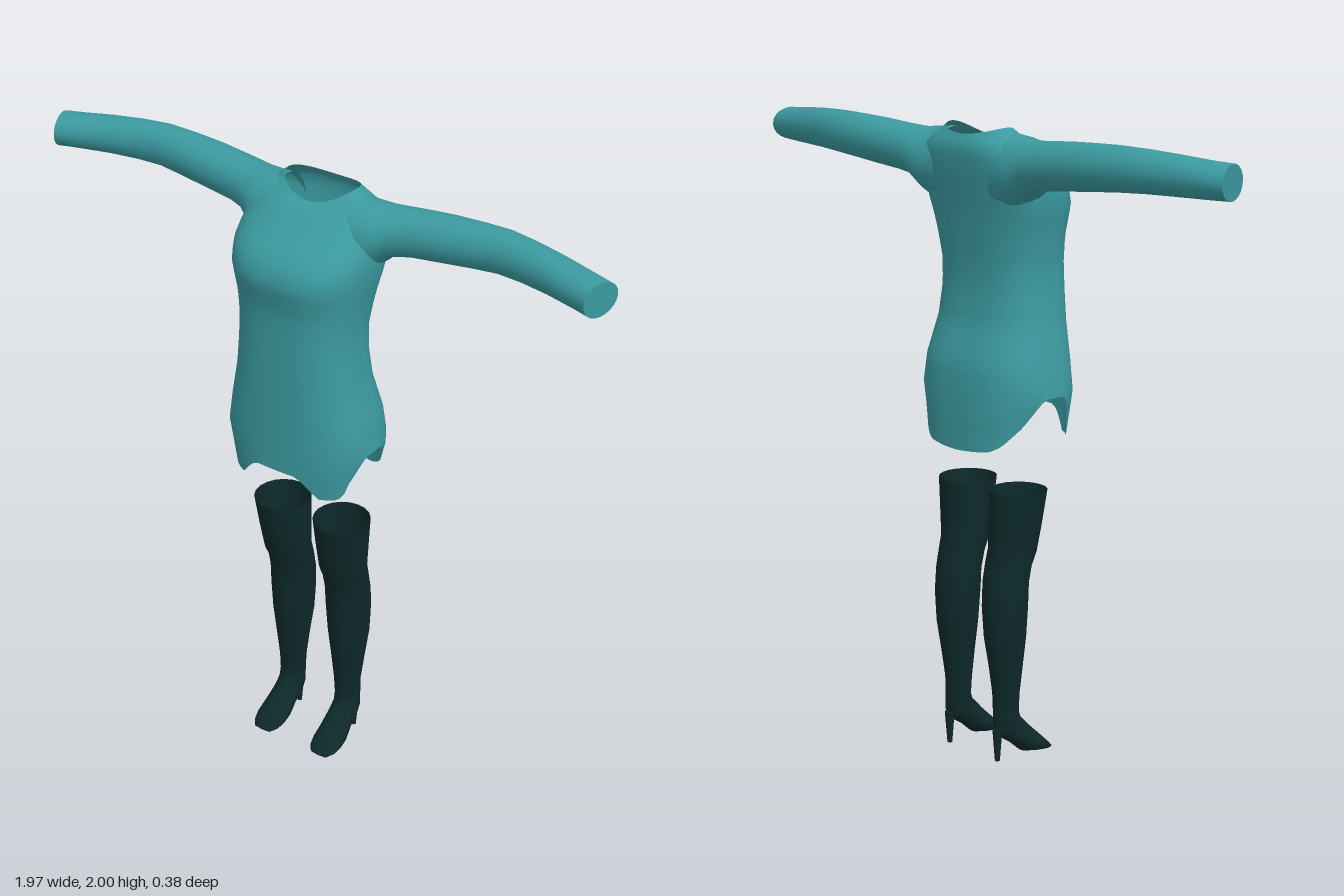
import * as THREE from 'three';

const teal = new THREE.MeshStandardMaterial({ color: 0x3b9aa0, side: THREE.DoubleSide });
teal.name = 'tealKnit';
const dark = new THREE.MeshStandardMaterial({ color: 0x0e2929, side: THREE.DoubleSide });
dark.name = 'darkLeather';

// Smooth surface through closed rings of points
function loft(rings) {
  const n = rings[0].length, pos = [], idx = [];
  rings.forEach(r => r.forEach(p => pos.push(...p)));
  for (let i = 0; i < rings.length - 1; i++) {
    for (let j = 0; j < n; j++) {
      const a = i * n + j, b = i * n + (j + 1) % n;
      idx.push(a, a + n, b, b, a + n, b + n);
    }
  }
  const g = new THREE.BufferGeometry();
  g.setAttribute('position', new THREE.Float32BufferAttribute(pos, 3));
  g.setIndex(idx);
  g.computeVertexNormals();
  return g;
}

function mesh(name, geometry, material) {
  const m = new THREE.Mesh(geometry, material);
  m.name = name;
  return m;
}

// A ring of n points from a function of the angle
const ring = (n, fn) => Array.from({ length: n }, (_, j) => fn(j / n * Math.PI * 2));

// Interpolate rows [key, ...values] at a key
function sample(rows, key) {
  let i = 0;
  while (i < rows.length - 2 && key > rows[i + 1][0]) i++;
  const a = rows[i], b = rows[i + 1];
  const t = THREE.MathUtils.clamp((key - a[0]) / (b[0] - a[0]), 0, 1);
  return a.slice(1).map((v, k) => v + (b[k + 1] - v) * t);
}

// Rounded-square power curve
const soft = (v, n) => Math.sign(v) * Math.abs(v) ** (2 / n);

// Body of the dress: y, half width, front z, back z, side z
const body = [
  [1.01, 0.222, 0.150, -0.187, 0.0], [1.10, 0.230, 0.165, -0.187, 0.0],
  [1.18, 0.252, 0.165, -0.187, 0.0], [1.28, 0.237, 0.165, -0.178, 0.0],
  [1.40, 0.212, 0.165, -0.137, 0.005], [1.50, 0.200, 0.165, -0.126, 0.01],
  [1.58, 0.197, 0.165, -0.128, 0.005], [1.66, 0.207, 0.167, -0.136, -0.01],
  [1.72, 0.218, 0.182, -0.143, -0.025], [1.77, 0.228, 0.190, -0.151, -0.04],
  [1.83, 0.232, 0.160, -0.163, -0.055], [1.88, 0.225, 0.097, -0.172, -0.07],
  [1.94, 0.200, 0.030, -0.177, -0.08],
];
// Hem height by angle in degrees, from back (-90) over the side (0) to front (90)
const hem = [[-90, 1.01], [-60, 1.02], [-48, 1.04], [-27, 1.10], [-9, 1.185],
  [9, 1.185], [30, 1.05], [38, 1.04], [57, 1.04], [76, 1.11], [90, 1.11]];

function bodyPoint(a, y, [w, f, b, s]) {
  const n = 2.6, k = soft(Math.sin(a), n);
  return [w * soft(Math.cos(a), n), y, s + k * (k > 0 ? f - s : s - b)];
}

function makeBody() {
  const N = 64, rings = [];
  // Skirt rows follow the notched hem
  for (const t of [0, 0.35, 0.7]) {
    rings.push(ring(N, a => {
      const deg = Math.asin(Math.sin(a)) * 180 / Math.PI;
      const y = THREE.MathUtils.lerp(sample(hem, deg)[0], 1.25, t);
      return bodyPoint(a, y, sample(body, y));
    }));
  }
  for (let y = 1.25; y < 1.95; y += 0.03) {
    rings.push(ring(N, a => bodyPoint(a, y, sample(body, y))));
  }
  // Shoulder slope and scooped neckline
  const neck = a => {
    const s = Math.sin(a);
    return [0.125 * Math.cos(a), 2.0 - (s > 0 ? 0.045 : 0.022) * s * s, -0.08 + s * 0.078];
  };
  const top = rings[rings.length - 1];
  for (const t of [0.5, 1]) {
    rings.push(ring(N, a => {
      const p = top[Math.round(a / (Math.PI * 2) * N) % N];
      return neck(a).map((v, k) => THREE.MathUtils.lerp(p[k], v, t));
    }));
  }
  return mesh('dressBody', loft(rings), teal);
}

// Sleeve: x, low y, high y, back z, front z, cuff slant
const sleeve = [
  [0.12, 1.745, 1.985, -0.165, 0.03, 0], [0.19, 1.765, 1.978, -0.174, 0.03, 0],
  [0.225, 1.79, 1.974, -0.174, 0.015, 0], [0.26, 1.82, 1.974, -0.172, -0.005, 0],
  [0.32, 1.832, 1.979, -0.172, -0.022, 0], [0.42, 1.842, 1.987, -0.176, -0.03, 0],
  [0.52, 1.852, 1.992, -0.174, -0.04, 0], [0.61, 1.860, 1.995, -0.168, -0.048, 0.004],
  [0.70, 1.864, 1.992, -0.152, -0.038, 0.01], [0.80, 1.865, 1.985, -0.132, -0.02, 0.015],
  [0.90, 1.865, 1.975, -0.112, 0.008, 0.017], [0.967, 1.865, 1.97, -0.097, 0.030, 0.018],
];

function makeSleeve() {
  const g = new THREE.Group();
  const rings = sleeve.map(([x, y0, y1, z0, z1, d]) => ring(20, a => [
    x - d * Math.cos(a),
    (y0 + y1) / 2 + (y1 - y0) / 2 * Math.sin(a),
    (z0 + z1) / 2 + (z1 - z0) / 2 * Math.cos(a),
  ]));
  for (const r of rings) r.reverse();
  const end = rings[rings.length - 1];
  g.add(mesh('sleeveTube', loft(rings), teal));
  g.add(mesh('cuffEnd', loft([end, end.map(() => [0.967, 1.9175, -0.0335])]), teal));
  return g;
}

// Boot: inner x, outer x, front z and y, back z and y, from top edge to toe
const boot = [
  [0.024, 0.205, 0.065, 0.875, -0.122, 0.875], [0.028, 0.195, 0.047, 0.77, -0.122, 0.77],
  [0.031, 0.187, 0.028, 0.68, -0.122, 0.69], [0.032, 0.184, 0.008, 0.64, -0.134, 0.64],
  [0.033, 0.184, -0.004, 0.59, -0.146, 0.58], [0.036, 0.183, -0.006, 0.51, -0.152, 0.51],
  [0.042, 0.179, -0.014, 0.41, -0.146, 0.41], [0.055, 0.167, -0.025, 0.31, -0.130, 0.31],
  [0.065, 0.156, -0.034, 0.22, -0.118, 0.22], [0.068, 0.155, -0.038, 0.16, -0.116, 0.15],
  [0.069, 0.155, -0.028, 0.135, -0.119, 0.105], [0.068, 0.156, -0.008, 0.115, -0.105, 0.078],
  [0.066, 0.160, 0.015, 0.09, -0.055, 0.045], [0.063, 0.166, 0.038, 0.068, -0.015, 0.010],
  [0.062, 0.168, 0.062, 0.045, 0.025, 0.003], [0.068, 0.162, 0.083, 0.024, 0.06, 0.0],
  [0.085, 0.145, 0.097, 0.008, 0.092, 0.0],
];

function makeBoot() {
  const g = new THREE.Group();
  const rings = boot.map(([x0, x1, fz, fy, bz, by]) => ring(20, a => {
    const t = (1 + Math.sin(a)) / 2;
    return [(x0 + x1) / 2 + (x1 - x0) / 2 * Math.cos(a), by + (fy - by) * t, bz + (fz - bz) * t];
  }).reverse());
  const end = rings[rings.length - 1];
  rings.push(end.map(() => [0.115, 0.004, 0.098]));
  g.add(mesh('bootUpper', loft(rings), dark));
  // Slim stiletto heel flaring into the sole
  const heel = mesh('bootHeel', new THREE.CylinderGeometry(0.016, 0.008, 0.105, 10), dark);
  heel.position.set(0.112, 0.0525, -0.114);
  g.add(heel);
  return g;
}

export function createModel() {
  const model = new THREE.Group();
  model.name = 'dressAndBoots';
  model.add(makeBody());
  for (const [side, s] of [['left', 1], ['right', -1]]) {
    const arm = makeSleeve(), leg = makeBoot();
    arm.name = side + 'Sleeve';
    leg.name = side + 'Boot';
    arm.scale.x = leg.scale.x = s;
    model.add(arm, leg);
  }
  return model;
}
